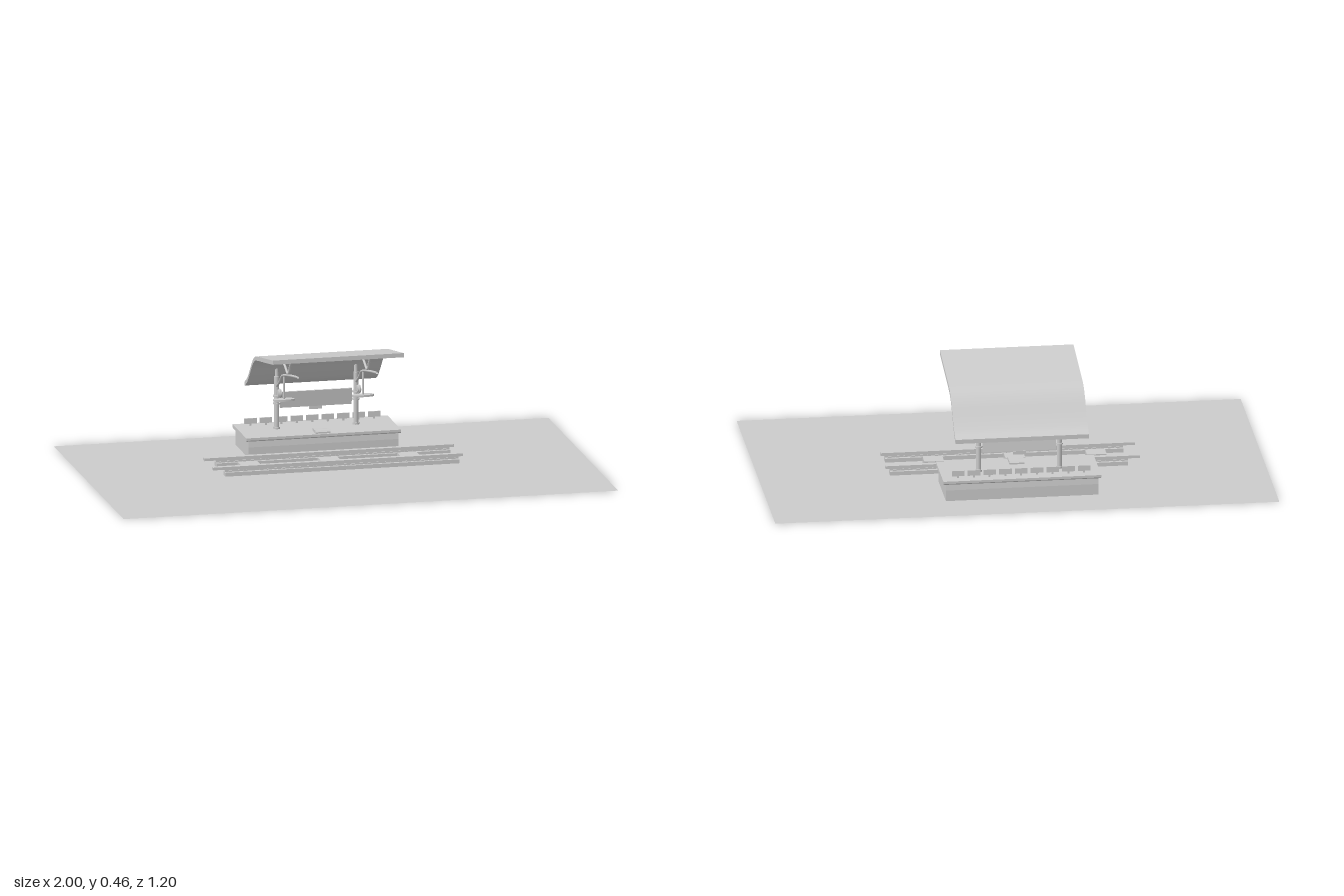
import * as THREE from 'three';

const grey = new THREE.MeshStandardMaterial({ color: 0xcccccc });
const greyDouble = new THREE.MeshStandardMaterial({ color: 0xcccccc, side: THREE.DoubleSide });

export function createModel() {
  const root = new THREE.Group();
  root.name = 'railwayPlatform';

  const add = (name, geometry, x = 0, y = 0, z = 0, material = grey) => {
    const mesh = new THREE.Mesh(geometry, material);
    mesh.name = name;
    mesh.position.set(x, y, z);
    root.add(mesh);
    return mesh;
  };
  const box = (name, w, h, d, x, y, z) => add(name, new THREE.BoxGeometry(w, h, d), x, y, z);
  const post = (name, r, y0, y1, x, z, sides = 16) =>
    add(name, new THREE.CylinderGeometry(r, r, y1 - y0, sides), x, (y0 + y1) / 2, z);

  // Extrudes a closed [z, y] outline along x, centred on x = cx
  const alongX = (name, points, width, cx = 0) => {
    const shape = new THREE.Shape(points.map(([z, y]) => new THREE.Vector2(-z, y)));
    const geometry = new THREE.ExtrudeGeometry(shape, { depth: width, bevelEnabled: false });
    geometry.translate(0, 0, -width / 2);
    geometry.rotateY(Math.PI / 2);
    return add(name, geometry, cx);
  };

  // Round bar through [z, y] points at a given x
  const bar = (name, points, r, x, segments = 24) => {
    const curve = new THREE.CatmullRomCurve3(points.map(([z, y]) => new THREE.Vector3(0, y, z)));
    return add(name, new THREE.TubeGeometry(curve, segments, r, 8), x, 0, 0, greyDouble);
  };

  // Ground sheet
  const ground = add('ground', new THREE.PlaneGeometry(2, 1.2), 0, 0, 0, greyDouble);
  ground.rotation.x = -Math.PI / 2;

  // Platform: plinth with a slight step, overhanging slab
  alongX('platformBase', [
    [-0.213, 0.006], [-0.443, 0.006], [-0.443, 0.05], [-0.44, 0.074], [-0.216, 0.074], [-0.213, 0.05],
  ], 0.606);
  alongX('platformSlab', [
    [-0.212, 0.074], [-0.443, 0.074], [-0.446, 0.078], [-0.446, 0.088], [-0.21, 0.088], [-0.21, 0.078],
  ], 0.626);

  // Low fence of separate panels along the back edge
  for (let i = 0; i < 9; i++) {
    const x = (i - 4) * 0.0625;
    box('fencePanel', 0.05, 0.022, 0.005, x, 0.107, -0.408);
    box('fenceFoot', 0.008, 0.012, 0.004, x, 0.093, -0.408);
  }

  // Pair of raised covers on the platform front
  for (const z of [-0.235, -0.265]) {
    alongX('platformCover', [
      [z + 0.015, 0.088], [z + 0.015, 0.094], [z + 0.009, 0.1],
      [z - 0.009, 0.1], [z - 0.015, 0.094], [z - 0.015, 0.088],
    ].reverse(), 0.06);
  }

  // Rails: wide foot, bolted web and narrow head
  for (const z of [0.042, -0.11]) {
    box('railFoot', 0.945, 0.016, 0.036, 0.012, 0.016, z);
    box('railWeb', 0.945, 0.012, 0.01, 0.012, 0.03, z);
    box('railHead', 1.01, 0.011, 0.02, -0.004, 0.0395, z);
    for (let i = 0; i < 30; i++) {
      box('railBolt', 0.014, 0.006, 0.018, -0.44 + i * 0.0312, 0.027, z);
    }
  }

  // Sleeper blocks between the rails
  for (const x of [-0.345, -0.022, 0.3]) box('sleeper', 0.078, 0.026, 0.058, x, 0.022, -0.03);

  // Curved roof: constant thickness swept down towards the back
  const roofCurve = new THREE.SplineCurve([
    [0.04, 0.463], [-0.1, 0.437], [-0.235, 0.412], [-0.28, 0.397], [-0.32, 0.366],
    [-0.365, 0.318], [-0.405, 0.281], [-0.443, 0.26],
  ].map(([z, y]) => new THREE.Vector2(z, y)));
  const topLine = roofCurve.getPoints(40).map((p) => [p.x, p.y]);
  const underside = topLine.map(([z, y]) => [z, y - 0.017]).reverse();
  alongX('roof', [...underside, ...topLine], 0.53);

  // Supports, trusses and lights, mirrored
  for (const side of [-1, 1]) {
    const x = side * 0.16;
    post('roofPost', 0.01, 0.088, 0.3, x, -0.34);
    post('postFoot', 0.014, 0.088, 0.096, x, -0.34);
    post('postCollar', 0.015, 0.188, 0.194, x, -0.34);
    post('postCollar', 0.015, 0.218, 0.224, x, -0.34);
    bar('postHead', [[-0.34, 0.295], [-0.342, 0.315], [-0.343, 0.335]], 0.007, x);

    // Lower truss arm and the V brace up to the roof
    bar('trussArm', [
      [0.025, 0.385], [-0.1, 0.361], [-0.21, 0.336], [-0.25, 0.322], [-0.29, 0.29], [-0.338, 0.26],
    ], 0.005, x, 32);
    bar('trussBrace', [
      [-0.08, 0.424], [-0.11, 0.395], [-0.132, 0.364], [-0.15, 0.358], [-0.185, 0.372], [-0.225, 0.388], [-0.24, 0.396],
    ], 0.005, x, 32);

    // Hanging lamp
    post('lampStem', 0.004, 0.238, 0.334, x, -0.215, 8);
    const shade = post('lampShade', 0.016, 0.231, 0.239, x, -0.215, 20);
    shade.scale.x = 2.8;

    // Round dial on a bracket, facing sideways
    const dial = add('dial', new THREE.CylinderGeometry(0.015, 0.015, 0.014, 24), x, 0.243, -0.29);
    dial.rotation.z = Math.PI / 2;
    const rim = add('dialRim', new THREE.TorusGeometry(0.016, 0.003, 8, 24), x, 0.243, -0.29);
    rim.rotation.y = Math.PI / 2;
    box('dialBracket', 0.005, 0.005, 0.03, x, 0.243, -0.32);
  }

  // Tilted board between the posts with a small tag below
  const board = box('board', 0.29, 0.066, 0.006, 0, 0.202, -0.346);
  board.rotation.x = 0.12;
  box('boardTag', 0.05, 0.014, 0.006, 0, 0.163, -0.352);

  return root;
}
